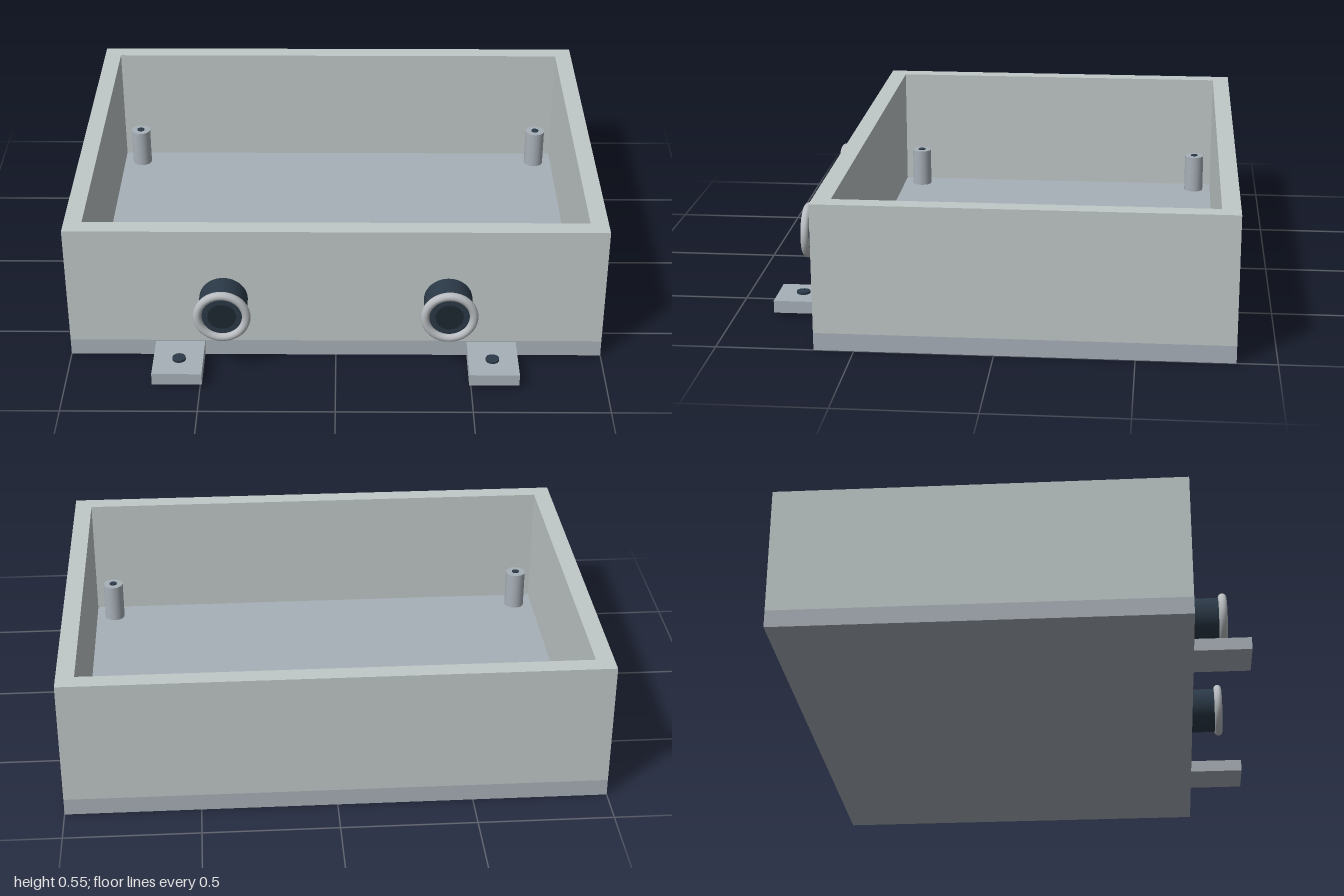
import * as THREE from 'three';

const wallMat = new THREE.MeshStandardMaterial({ color: 0xc0c8c8 });
const baseMat = new THREE.MeshStandardMaterial({ color: 0xa8b0b8 });
const ringMat = new THREE.MeshStandardMaterial({ color: 0xb8bcc0 });
const darkMat = new THREE.MeshStandardMaterial({ color: 0x2b3947 });
const boreMat = new THREE.MeshStandardMaterial({ color: 0x1c2830 });

const BACK = -0.855, FRONT = 0.645, FLOOR = 0.065, TOP = 0.545, WALL = 0.067;

function add(parent, name, geometry, material, x = 0, y = 0, z = 0) {
  const mesh = new THREE.Mesh(geometry, material);
  mesh.name = name;
  mesh.position.set(x, y, z);
  parent.add(mesh);
  return mesh;
}

// Clockwise rectangle corners in plan (shape y becomes -z)
function rectangle(Path, inset) {
  const x = 1 - inset, a = -FRONT + inset, b = -BACK - inset;
  return new Path([[-x, a], [x, a], [x, b], [-x, b]].map(([u, v]) => new THREE.Vector2(u, v)));
}

export function createModel() {
  const model = new THREE.Group();
  model.name = 'openEnclosure';

  // Base plate
  add(model, 'basePlate', new THREE.BoxGeometry(2, FLOOR, FRONT - BACK), baseMat,
    0, FLOOR / 2, (FRONT + BACK) / 2);

  // Four walls as one open frame
  const frame = rectangle(THREE.Shape, 0);
  frame.holes.push(rectangle(THREE.Path, WALL));
  const walls = new THREE.ExtrudeGeometry(frame, { depth: TOP - FLOOR, bevelEnabled: false });
  walls.rotateX(-Math.PI / 2);
  add(model, 'walls', walls, wallMat, 0, FLOOR, 0);

  for (const side of [-1, 1]) {
    const sideName = side > 0 ? 'left' : 'right';

    // Corner standoffs with dark screw holes
    for (const [end, z] of [['Back', -0.715], ['Front', 0.5]]) {
      const standoff = new THREE.Group();
      standoff.name = sideName + end + 'Standoff';
      standoff.position.set(side * 0.858, FLOOR, z);
      add(standoff, 'post', new THREE.CylinderGeometry(0.04, 0.04, 0.155, 32), baseMat, 0, 0.0775, 0);
      add(standoff, 'screwHole', new THREE.CylinderGeometry(0.015, 0.015, 0.01, 24), darkMat, 0, 0.153, 0);
      model.add(standoff);
    }

    // Cable gland on the front wall, axis along z
    const gland = new THREE.Group();
    gland.name = sideName + 'CableGland';
    gland.position.set(side * 0.417, 0.255, FRONT);
    const sleeve = new THREE.CylinderGeometry(0.09, 0.09, 0.12, 48).rotateX(Math.PI / 2);
    add(gland, 'sleeve', sleeve, darkMat, 0, 0, 0.06);
    add(gland, 'rimRing', new THREE.TorusGeometry(0.09, 0.016, 16, 48), ringMat, 0, 0, 0.12);
    const bore = new THREE.CylinderGeometry(0.052, 0.052, 0.01, 40).rotateX(Math.PI / 2);
    add(gland, 'bore', bore, boreMat, 0, 0, 0.118);
    model.add(gland);

    // Mounting tab with dark bolt hole
    const tab = new THREE.Group();
    tab.name = sideName + 'MountingTab';
    tab.position.set(side * 0.585, 0, FRONT);
    add(tab, 'plate', new THREE.BoxGeometry(0.185, 0.047, 0.21), baseMat, 0, 0.036, 0.105);
    add(tab, 'boltHole', new THREE.CylinderGeometry(0.025, 0.025, 0.01, 24), darkMat, -side * 0.003, 0.063, 0.115);
    model.add(tab);
  }
  return model;
}
